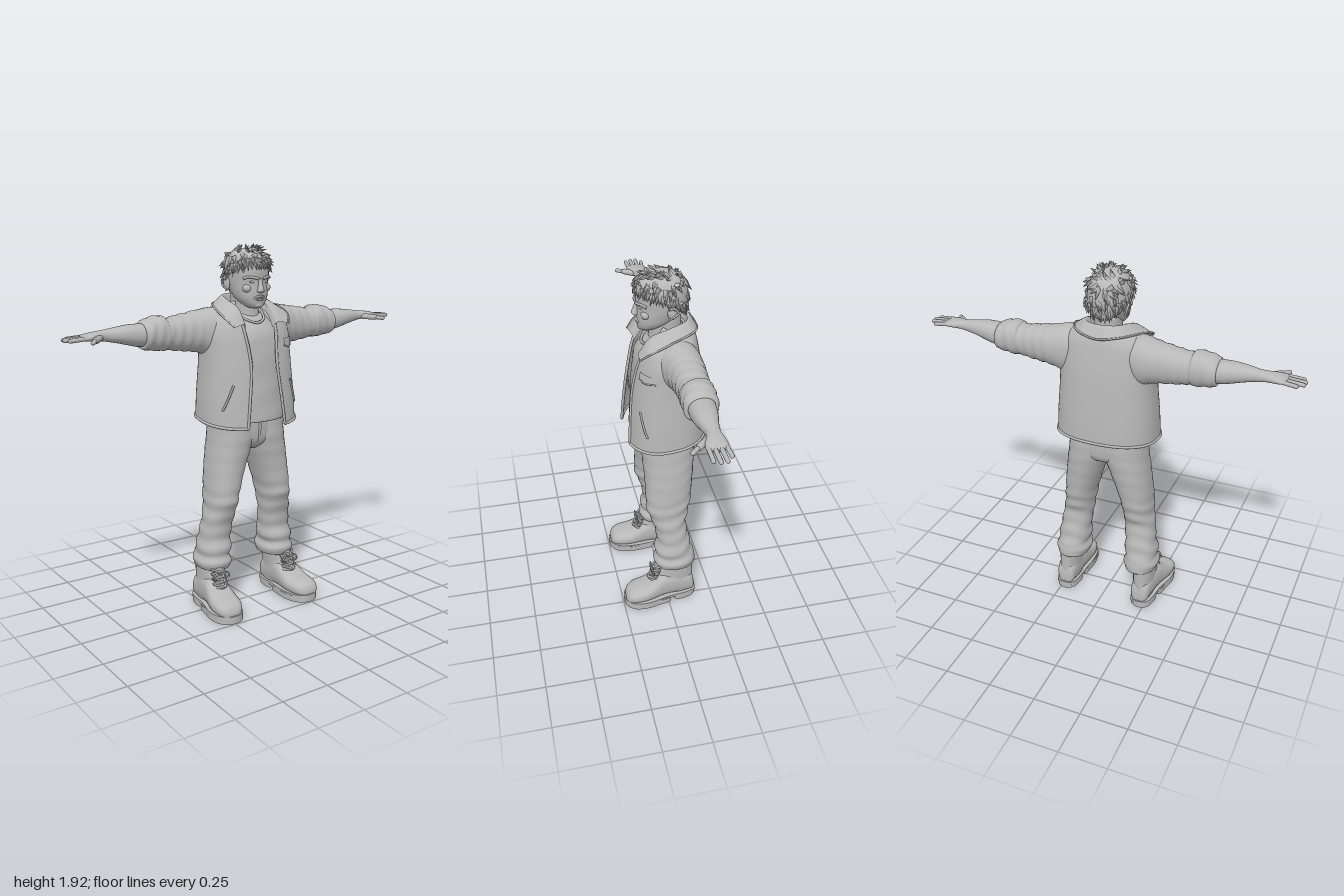
import * as THREE from 'three';

const V = (x, y, z) => new THREE.Vector3(x, y, z);
const spow = (v, e) => Math.sign(v) * Math.abs(v) ** e;

// Smooth surface from point(i, j); faces look along rowDirection x columnDirection
function grid(point, rows, cols, closed, cap) {
  const pos = [], idx = [], n = closed ? cols : cols + 1;
  for (let i = 0; i <= rows; i++)
    for (let j = 0; j < n; j++) pos.push(...point(i / rows, j / cols).toArray());
  for (let i = 0; i < rows; i++)
    for (let j = 0; j < cols; j++) {
      const a = i * n + j, b = i * n + (j + 1) % n;
      idx.push(a, a + n, b, b, a + n, b + n);
    }
  if (cap) for (const r of [0, rows]) {
    const c = V(0, 0, 0), id = pos.length / 3;
    for (let j = 0; j < n; j++) c.add(V().fromArray(pos, (r * n + j) * 3));
    pos.push(...c.divideScalar(n).toArray());
    for (let j = 0; j < n; j++) {
      const a = r * n + j, b = r * n + (j + 1) % n;
      r ? idx.push(id, b, a) : idx.push(id, a, b);
    }
  }
  const g = new THREE.BufferGeometry();
  g.setAttribute('position', new THREE.Float32BufferAttribute(pos, 3));
  g.setIndex(idx);
  g.computeVertexNormals();
  return g;
}

function sampler(keys) {
  const f = new THREE.CubicInterpolant(keys.map((_, i) => i), keys.flat(), keys[0].length);
  return s => f.evaluate(s * (keys.length - 1));
}

// Cross-sections [t, uMin, uMax, vMin, vMax]: axis x uses (z, y), axis y uses (x, z), axis z uses (y, x)
function loft(axis, keys, { rows = 32, cols = 28, power = 2.2, fold = () => 0 } = {}) {
  const at = sampler(keys);
  return grid((s, q) => {
    const [t, u0, u1, v0, v1] = at(s), a = q * Math.PI * 2, k = 1 + fold(t, a);
    const u = (u0 + u1) / 2 + k * (u1 - u0) / 2 * spow(Math.cos(a), 2 / power);
    const v = (v0 + v1) / 2 + k * (v1 - v0) / 2 * spow(Math.sin(a), 2 / power);
    return axis === 'x' ? V(t, v, u) : axis === 'y' ? V(u, t, v) : V(v, u, t);
  }, rows, cols, true, true);
}

const tube = (pts, r, closed = false, seg = 32) =>
  new THREE.TubeGeometry(new THREE.CatmullRomCurve3(pts.map(p => V(...p)), closed), seg, r, 6, closed);
const ball = (x, y, z, rx, ry, rz) => new THREE.SphereGeometry(1, 16, 12).scale(rx, ry, rz).translate(x, y, z);

function limb(a, b, r) {
  const d = b.clone().sub(a), len = d.length();
  return new THREE.CapsuleGeometry(r, len, 4, 10)
    .applyQuaternion(new THREE.Quaternion().setFromUnitVectors(V(0, 1, 0), d.normalize()))
    .translate(...a.clone().add(b).multiplyScalar(0.5).toArray());
}

function mirrored(g) {
  const m = g.clone().scale(-1, 1, 1);
  if (!m.index) m.setIndex([...Array(m.attributes.position.count).keys()]);
  const ix = m.index.array;
  for (let i = 0; i < ix.length; i += 3) [ix[i], ix[i + 1]] = [ix[i + 1], ix[i]];
  return m;
}

export function createModel() {
  const root = new THREE.Group();
  const grey = new THREE.MeshStandardMaterial({ color: 0xb8b8b8, side: THREE.DoubleSide });
  grey.name = 'grey';
  const add = (name, g) => {
    const m = new THREE.Mesh(g, grey);
    m.name = name;
    root.add(m);
  };
  const pair = (name, g) => { add('left' + name, g); add('right' + name, mirrored(g)); };
  let seed = 7;
  const rnd = () => (seed = (seed * 16807) % 2147483647) / 2147483647;

  // Head and neck
  add('head', loft('y', [[1.603, -.025, .025, .03, .085], [1.618, -.05, .05, -.005, .1], [1.65, -.077, .077, -.06, .106],
    [1.69, -.09, .09, -.1, .108], [1.73, -.097, .097, -.125, .106], [1.78, -.1, .1, -.135, .112],
    [1.83, -.098, .098, -.135, .107], [1.87, -.08, .08, -.115, .083], [1.893, -.035, .035, -.06, .03]]));
  add('neck', loft('y', [[1.46, -.085, .085, -.13, .06], [1.54, -.07, .07, -.12, .05], [1.6, -.066, .066, -.115, .045], [1.68, -.066, .066, -.115, .05]]));
  add('nose', loft('y', [[1.682, -.009, .009, .09, .117], [1.69, -.02, .02, .09, .129], [1.702, -.016, .016, .09, .131],
    [1.725, -.011, .011, .09, .122], [1.752, -.011, .011, .09, .113]], { rows: 14, cols: 14, power: 2 }));
  add('upperLip', tube([[-.032, 1.655, .098], [-.015, 1.664, .109], [0, 1.665, .112], [.015, 1.664, .109], [.032, 1.655, .098]], .006));
  add('lowerLip', ball(0, 1.648, .102, .022, .006, .009));
  add('chin', ball(0, 1.622, .086, .028, .018, .018));
  pair('Brow', tube([[.012, 1.752, .112], [.035, 1.758, .108], [.062, 1.762, .092], [.08, 1.754, .072]], .007));
  pair('Eye', ball(.038, 1.737, .093, .017, .007, .009));
  pair('Cheek', ball(.055, 1.705, .073, .028, .022, .022));
  pair('Ear', ball(.099, 1.722, -.05, .012, .036, .024));
  pair('EarRim', tube([[.104, 1.692, -.04], [.11, 1.72, -.076], [.114, 1.75, -.06], [.109, 1.748, -.035]], .006));

  // Hair: a cap with a shaped hairline and pointed locks
  const hairAt = (a, s) => {
    const c = Math.cos(a), low = 1.775 + (c > 0 ? .045 : .1) * c;
    const y = low + (1.9 - low) * Math.sin(s * Math.PI / 2), t = Math.min(1, Math.abs(y - 1.77) / .13);
    const f = (1 - t ** 2.6) ** (1 / 2.6);
    return V(-.108 * f * Math.sin(a), y, -.014 + .134 * f * c);
  };
  add('hairCap', grid((s, q) => hairAt(q * Math.PI * 2, s), 20, 40, true));
  const locks = new THREE.Group();
  locks.name = 'hairLocks';
  for (let i = 0; i < 150; i++) {
    const fringe = i < 60, a = (fringe ? i / 60 : rnd()) * Math.PI * 2, s = fringe ? .06 + rnd() * .08 : .15 + rnd() * .75;
    const p = hairAt(a, s), out = V(p.x, (p.y - 1.77) * .8, p.z + .014).normalize();
    const dir = out.multiplyScalar(fringe ? .25 : .4).add(V((rnd() - .5) * .8, fringe ? -.9 : -.75 + s * .8, .35 * s)).normalize();
    const lock = new THREE.Mesh(new THREE.ConeGeometry(.015, .05 + rnd() * .018, 5), grey);
    lock.name = 'hairLock';
    lock.quaternion.setFromUnitVectors(V(0, 1, 0), dir);
    lock.position.copy(p).addScaledVector(dir, .008);
    locks.add(lock);
  }
  root.add(locks);

  // Shirt
  add('shirt', loft('y', [[1.03, -.2, .2, -.165, .14], [1.04, -.205, .205, -.17, .15], [1.2, -.2, .2, -.17, .14], [1.4, -.21, .21, -.17, .125],
    [1.48, -.18, .18, -.16, .105], [1.54, -.125, .125, -.14, .065], [1.575, -.075, .075, -.12, .035]], { fold: (y, a) => .008 * Math.sin(y * 40 + a * 3) }));
  add('neckband', tube([[0, 1.53, .083], [.05, 1.545, .065], [.083, 1.585, -.02], [.06, 1.61, -.11], [0, 1.615, -.13],
    [-.06, 1.61, -.11], [-.083, 1.585, -.02], [-.05, 1.545, .065]], .007, true, 48));

  // Jacket body, open at the front: [y, halfWidth, zBack, zFront, openingHalfWidth]
  const jacketKeys = [[1.025, .268, -.238, .183, .115], [1.15, .263, -.232, .172, .1], [1.3, .252, -.22, .155, .082], [1.4, .248, -.21, .138, .085],
    [1.48, .245, -.198, .12, .095], [1.55, .225, -.186, .092, .1], [1.59, .19, -.176, .062, .1], [1.615, .15, -.165, .03, .09], [1.635, .11, -.15, 0, .07]];
  const jacket = sampler(jacketKeys), e = 2 / 2.4;
  const jacketAt = (s, q) => {
    const [y, w, z0, z1, gap] = jacket(s), a0 = Math.asin((gap / w) ** (1 / e));
    const a = a0 + (Math.PI * 2 - 2 * a0) * q;
    const z = (z0 + z1) / 2 + (z1 - z0) / 2 * spow(Math.cos(a), e);
    return V(-w * spow(Math.sin(a), e), y - .12 * z * (1 - s) ** 2, z);
  };
  add('jacketBody', grid(jacketAt, 40, 56, false));
  const along = f => Array.from({ length: 25 }, (_, i) => f(i / 24).toArray());
  pair('JacketFrontEdge', tube(along(s => jacketAt(s * .8, 1)), .008, false, 48));
  add('jacketHem', tube(along(s => jacketAt(0, s)), .008, false, 64));

  // Points laid on the jacket front
  const lin = new THREE.LinearInterpolant(jacketKeys.map(k => k[0]), jacketKeys.flat(), 5);
  const onFront = (x, y, lift) => {
    const [, w, z0, z1] = lin.evaluate(y);
    return V(x, y, (z0 + z1) / 2 + (z1 - z0) / 2 * (1 - (x / w) ** 2.4) ** (1 / 2.4) + lift);
  };
  pair('SidePocket', tube(along(s => onFront(.175 + .05 * s, 1.23 - .13 * s, .001)), .006));
  add('chestPocketFlap', grid((s, q) => onFront(.14 + .085 * q, 1.41 + .035 * s - .012 * (1 - s) * (1 - Math.abs(2 * q - 1)), .009), 4, 12, false));
  add('chestPocketEdge', tube(along(q => onFront(.14 + .085 * q, 1.41 - .012 * (1 - Math.abs(2 * q - 1)), .006)), .005));

  // Collar: stand, ridge and falling edge swept round the neck
  const around = pts => new THREE.CatmullRomCurve3([...pts, ...pts.slice(0, -1).reverse().map(([x, y, z]) => [-x, y, z])].map(p => V(...p)));
  const collar = [
    around([[.085, 1.5, .1], [.085, 1.57, .045], [.085, 1.6, -.04], [.06, 1.61, -.115], [0, 1.61, -.135]]),
    around([[.1, 1.53, .118], [.1, 1.605, .06], [.108, 1.645, -.035], [.075, 1.662, -.125], [0, 1.665, -.15]]),
    around([[.165, 1.52, .125], [.195, 1.565, .075], [.178, 1.607, -.045], [.11, 1.618, -.16], [0, 1.605, -.19]])];
  add('collar', grid((s, q) => new THREE.CatmullRomCurve3(collar.map(c => c.getPoint(1 - q))).getPoint(s), 10, 48, false));
  add('collarEdge', tube(along(s => collar[2].getPoint(s)), .005, false, 64));

  // Sleeves with rolled cuffs, forearms and hands
  pair('Sleeve', loft('x', [[.1, -.15, .03, 1.42, 1.6], [.19, -.172, .04, 1.36, 1.607], [.27, -.172, .015, 1.382, 1.594], [.36, -.165, .002, 1.395, 1.58],
    [.43, -.16, 0, 1.405, 1.568], [.455, -.158, 0, 1.412, 1.568], [.47, -.164, .004, 1.405, 1.582], [.53, -.162, .004, 1.412, 1.578],
    [.575, -.157, .005, 1.42, 1.56], [.585, -.148, -.003, 1.43, 1.55], [.58, -.13, -.02, 1.45, 1.535]],
  { rows: 64, fold: (x, a) => x > .27 && x < .575 ? .025 * Math.sin(x * 115 + 1.2 * Math.sin(a * 2)) : 0 }));
  pair('Forearm', loft('x', [[.52, -.14, -.015, 1.44, 1.55], [.6, -.138, -.01, 1.437, 1.55], [.66, -.13, -.012, 1.45, 1.549], [.72, -.115, -.023, 1.465, 1.542],
    [.78, -.105, -.036, 1.477, 1.534], [.82, -.106, -.03, 1.483, 1.53], [.86, -.112, -.014, 1.485, 1.525], [.895, -.112, -.01, 1.489, 1.518], [.91, -.1, -.02, 1.495, 1.511]]));
  [[-.1, .957, -.107], [-.075, .986, -.08], [-.048, .989, -.051], [-.022, .975, -.022]].forEach(([z, tx, tz], i) =>
    pair('Finger' + (i + 1), limb(V(.885, 1.505, z), V(tx, 1.499, tz), .0105)));
  pair('ThumbBase', limb(V(.815, 1.5, -.045), V(.862, 1.496, .008), .016));
  pair('ThumbTip', limb(V(.862, 1.496, .008), V(.893, 1.492, .045), .011));

  // Trousers
  add('pelvis', loft('y', [[.865, -.05, .05, -.09, .05], [.9, -.14, .14, -.15, .09], [.96, -.195, .195, -.168, .105], [1.1, -.195, .195, -.165, .11]]));
  add('fly', tube([[0, .91, .092], [0, .97, .108], [0, 1.04, .112]], .007));
  pair('Leg', loft('y', [[.235, .14, .265, -.13, .02], [.225, .118, .288, -.157, .055], [.26, .11, .297, -.167, .065], [.295, .118, .288, -.155, .058],
    [.33, .11, .288, -.145, .06], [.4, .11, .275, -.13, .047], [.5, .1, .262, -.112, .065], [.57, .09, .25, -.128, .09],
    [.63, .08, .247, -.138, .1], [.75, .045, .236, -.153, .1], [.86, .006, .222, -.165, .105], [.95, -.02, .21, -.17, .11], [1.08, -.01, .2, -.165, .108]],
  { rows: 80, fold: (y, a) => (y < .66 && y > .23 ? .03 : .006) * Math.sin(y * 75 + 1.6 * Math.sin(a) + Math.cos(a * 2)) }));

  // Boots: shaft, foot, sole, heel and laces
  pair('BootShaft', loft('y', [[.04, .175, .275, -.15, .04], [.12, .168, .28, -.15, .07], [.2, .165, .28, -.148, .052], [.28, .16, .28, -.148, .045]]));
  pair('BootFoot', loft('z', [[-.155, .03, .09, .195, .25], [-.135, .025, .15, .175, .275], [-.06, .025, .18, .168, .285], [.02, .025, .185, .162, .298],
    [.08, .025, .147, .16, .313], [.13, .025, .12, .16, .322], [.185, .025, .108, .17, .322], [.222, .025, .088, .192, .305], [.238, .03, .06, .22, .28]], { power: 2.5 }));
  const plate = (pts, y, h) => new THREE.ExtrudeGeometry(
    new THREE.Shape(new THREE.CatmullRomCurve3(pts.map(([x, z]) => V(x, -z, 0)), true).getPoints(48).map(p => new THREE.Vector2(p.x, p.y))),
    { depth: h, bevelEnabled: false }).rotateX(-Math.PI / 2).translate(0, y, 0);
  pair('Sole', plate([[.17, -.01], [.155, .06], [.153, .13], [.17, .2], [.215, .24], [.275, .24], [.317, .2], [.328, .13], [.315, .06], [.296, -.01]], 0, .032));
  pair('Welt', plate([[.185, -.155], [.165, -.1], [.16, 0], [.153, .1], [.17, .2], [.215, .242], [.275, .242], [.318, .2], [.328, .12], [.3, 0], [.288, -.1], [.265, -.155]], .026, .016));
  pair('Heel', plate([[.18, -.14], [.168, -.1], [.168, -.04], [.225, -.025], [.288, -.04], [.288, -.1], [.268, -.145], [.225, -.162]], 0, .04));
  pair('Tongue', limb(V(.228, .14, .07), V(.222, .225, .038), .03));
  for (let i = 0; i < 4; i++) {
    const y = .145 + i * .025, z = .098 - i * .009;
    for (const d of [-1, 1])
      pair('Lace', tube([[.226 - .042 * d, y - .008, z - .028], [.226, y + .006, z + .006], [.226 + .042 * d, y + .016, z - .03]], .006, false, 12));
  }
  for (const d of [-1, 1])
    pair('LaceBow', tube([[.225, .205, .075], [.225 + .03 * d, .222, .085], [.225 + .048 * d, .195, .08], [.225 + .02 * d, .19, .085]], .005, true, 20));

  return root;
}
